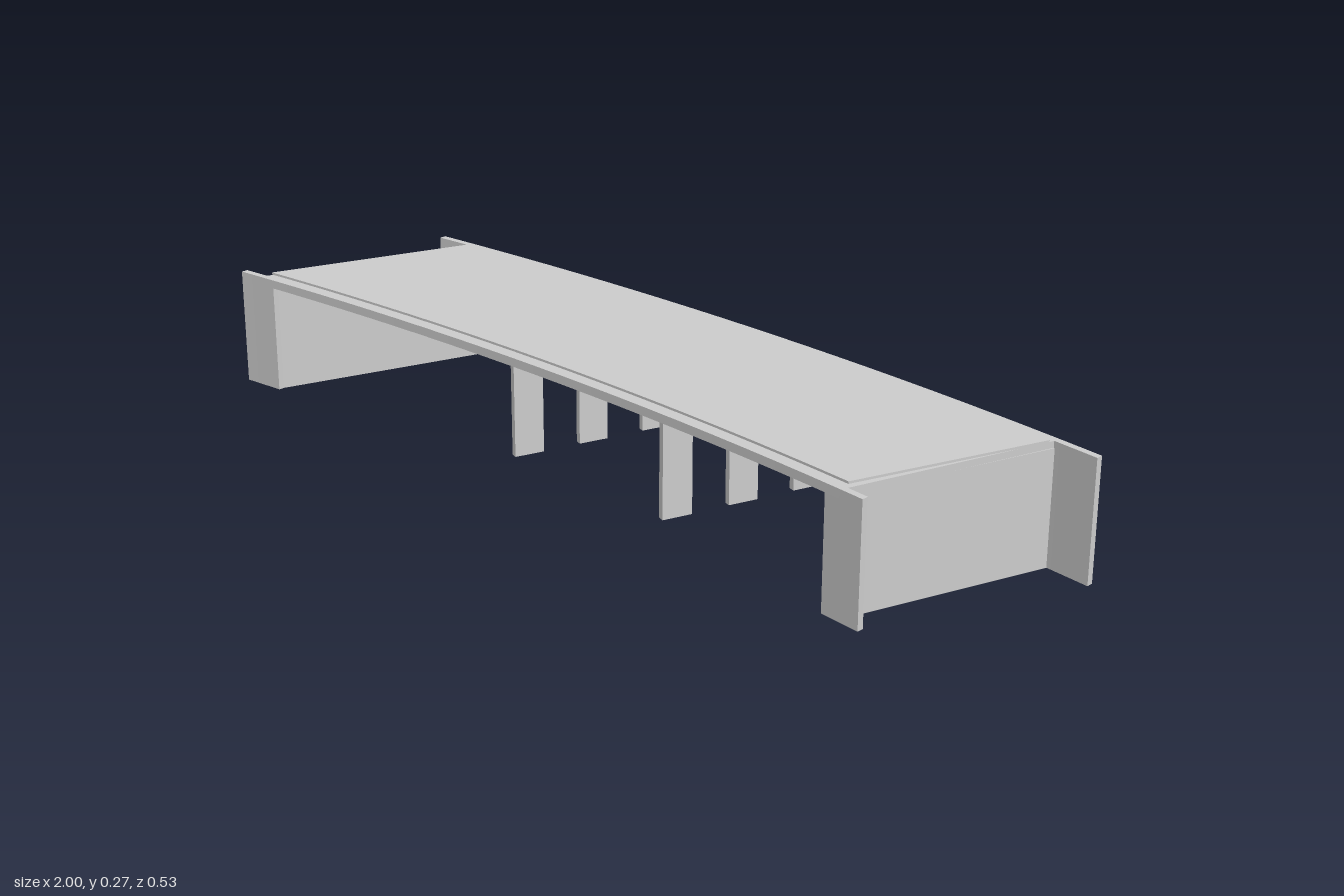
import * as THREE from 'three';

const MAT = new THREE.MeshStandardMaterial({ color: 0xcccccc });
const DECK_BOTTOM = 0.243, DECK_TOP = 0.262, SURFACE_TOP = 0.267;
const SKEW = Math.atan2(0.155, 0.465);

// Concentric curved edges of the bridge; inset moves towards the centreline
const frontZ = (x, inset = 0) => 0.212 + (x + 0.09) ** 2 / 16.2 - inset;
const backZ = (x, inset = 0) => -0.268 + (x + 0.09) ** 2 / 17.4 + inset;

// Points along a curved edge from x0 to x1
function edge(fn, x0, x1, inset = 0, n = 20) {
  return Array.from({ length: n + 1 }, (_, i) => {
    const x = x0 + (x1 - x0) * i / n;
    return [x, fn(x, inset)];
  });
}

// Vertical prism from an [x, z] plan outline
function prism(name, plan, y0, y1) {
  const shape = new THREE.Shape(plan.map(([x, z]) => new THREE.Vector2(x, -z)));
  const geo = new THREE.ExtrudeGeometry(shape, { depth: y1 - y0, bevelEnabled: false });
  geo.rotateX(-Math.PI / 2).translate(0, y0, 0);
  const mesh = new THREE.Mesh(geo, MAT);
  mesh.name = name;
  return mesh;
}

// Skewed plate bounded by both curved edges
function plate(name, inset, endInset, y0, y1) {
  return prism(name, [
    ...edge(frontZ, -0.94 + endInset, 0.755 - endInset, inset),
    ...edge(backZ, 0.9 - endInset, -0.78 + endInset, inset),
  ], y0, y1);
}

export function createModel() {
  const model = new THREE.Group();
  model.name = 'bridge';

  // Deck slab and the raised road surface
  model.add(plate('deckSlab', 0, 0, DECK_BOTTOM, DECK_TOP));
  model.add(plate('roadSurface', 0.028, 0.006, DECK_TOP, SURFACE_TOP));

  // Skewed abutment walls: outer front x, outer back x, inward thickness
  for (const [name, xf, xb, t] of [
    ['rightAbutment', -0.94, -0.78, 0.038],
    ['leftAbutment', 0.755, 0.9, -0.038],
  ]) {
    model.add(prism(name, [
      [xf, frontZ(xf, 0.008)], [xf + t, frontZ(xf + t, 0.008)],
      [xb + t, backZ(xb + t, 0.008)], [xb, backZ(xb, 0.008)],
    ], 0, DECK_BOTTOM + 0.005));
  }

  // Wing walls following the curved edges at the four corners
  const wing = 0.015;
  for (const [name, fn, x0, x1] of [
    ['frontRightWingWall', frontZ, -1, -0.9],
    ['frontLeftWingWall', frontZ, 0.715, 0.81],
    ['backRightWingWall', backZ, -0.87, -0.742],
    ['backLeftWingWall', backZ, 0.862, 1],
  ]) {
    model.add(prism(name, [
      ...edge(fn, x0, x1, 0, 3), ...edge(fn, x1, x0, wing, 3),
    ], 0, DECK_TOP));
  }

  // Two rows of three blade piers, turned to the skew
  for (const [row, cx, cz] of [['rightPier', -0.177, -0.037], ['leftPier', 0.271, -0.022]]) {
    for (const i of [-1, 0, 1]) {
      const pier = new THREE.Mesh(new THREE.BoxGeometry(0.015, DECK_BOTTOM + 0.005, 0.067), MAT);
      pier.name = row + (i + 2);
      pier.position.set(cx + i * 0.045, (DECK_BOTTOM + 0.005) / 2, cz - i * 0.147);
      pier.rotation.y = -SKEW;
      model.add(pier);
    }
  }
  return model;
}
